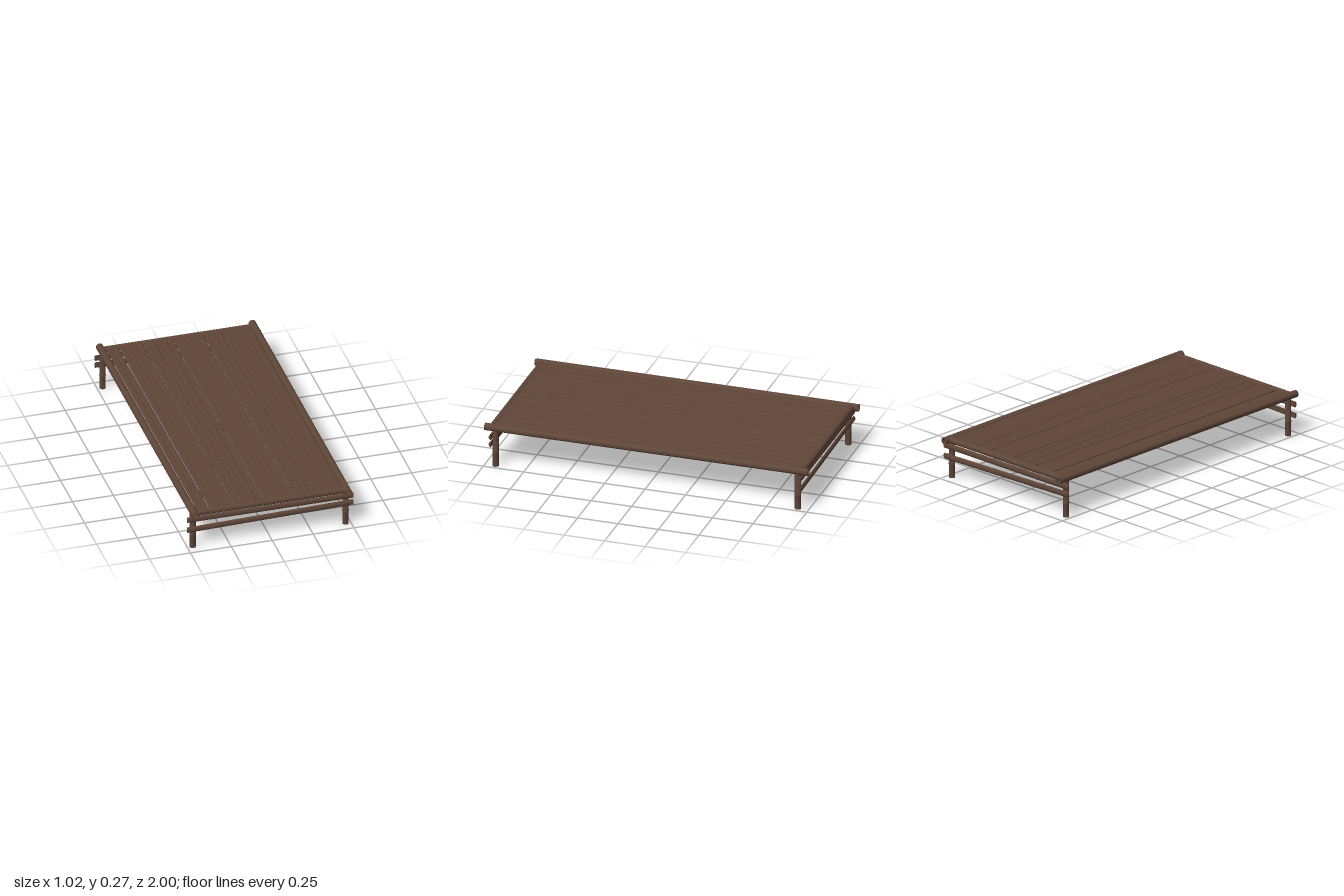
import * as THREE from 'three';
import { toCreasedNormals } from 'three/addons/utils/BufferGeometryUtils.js';

const bamboo = new THREE.MeshStandardMaterial({ color: 0x5f4638 });
bamboo.name = 'dark bamboo';

// Round pole along y with recessed hollow ends and optional raised nodes
function poleGeometry(length, r, nodes = []) {
  const h = length / 2, inner = r * 0.66, depth = 0.03;
  const pts = [[0, -h + depth], [inner, -h + depth], [inner, -h], [r, -h]];
  for (const y of nodes) {
    pts.push([r, y - 0.005], [r * 1.07, y - 0.002], [r * 1.07, y + 0.002], [r, y + 0.005]);
  }
  pts.push([r, h], [inner, h], [inner, h - depth], [0, h - depth]);
  const lathe = new THREE.LatheGeometry(pts.map(([x, y]) => new THREE.Vector2(x, y)), 20);
  return toCreasedNormals(lathe, 0.6);
}

// Split cane along z: flat underside at y = 0, shallow arched top
function slatGeometry(width, length, edge, rise) {
  const w = width / 2, shape = new THREE.Shape();
  shape.moveTo(-w, 0);
  shape.lineTo(w, 0);
  for (let i = 0; i <= 8; i++) {
    const t = 1 - i / 4;
    shape.lineTo(w * t, edge + rise * (1 - t * t));
  }
  shape.closePath();
  const geo = new THREE.ExtrudeGeometry(shape, { depth: length, bevelEnabled: false });
  geo.translate(0, 0, -length / 2);
  return toCreasedNormals(geo, 0.6);
}

function addPart(parent, name, geometry, x, y, z) {
  const mesh = new THREE.Mesh(geometry, bamboo);
  mesh.name = name;
  mesh.position.set(x, y, z);
  parent.add(mesh);
  return mesh;
}

export function createModel() {
  const bed = new THREE.Group();
  bed.name = 'bambooBed';

  // Long side rails
  const rail = poleGeometry(2, 0.022);
  for (const s of [1, -1]) {
    addPart(bed, s > 0 ? 'leftRail' : 'rightRail', rail, s * 0.467, 0.244, 0).rotation.x = Math.PI / 2;
  }

  // Each end: cross rail, two legs, straight slat and tilted slat; the back is turned half round
  const crossRail = poleGeometry(0.9, 0.0195);
  const leg = poleGeometry(0.23, 0.0185, [-0.027]);
  const brace = slatGeometry(0.035, 1.016, 0.004, 0.009);
  for (const s of [1, -1]) {
    const end = new THREE.Group();
    end.name = s > 0 ? 'frontEnd' : 'backEnd';
    end.rotation.y = s > 0 ? 0 : Math.PI;
    addPart(end, 'crossRail', crossRail, 0, 0.244, 0.957).rotation.z = Math.PI / 2;
    for (const x of [0.467, -0.467]) addPart(end, 'leg', leg, x, 0.115, 0.934);

    for (const [name, y, tilt] of [['straightSlat', 0.198, 0], ['tiltedSlat', 0.14, 0.021]]) {
      const holder = new THREE.Group();
      holder.name = name + 'Holder';
      holder.position.set(0, y, 0.951);
      holder.rotation.z = tilt;
      // Turn the slat to run along x with its arch facing outwards
      const mesh = addPart(holder, name, brace, 0, 0, 0);
      const basis = new THREE.Matrix4().makeBasis(
        new THREE.Vector3(0, 1, 0), new THREE.Vector3(0, 0, 1), new THREE.Vector3(1, 0, 0));
      mesh.quaternion.setFromRotationMatrix(basis);
      end.add(holder);
    }
    bed.add(end);
  }

  // Deck of split canes with a few open joints
  const deck = new THREE.Group();
  deck.name = 'deck';
  const count = 24, pitch = 0.884 / count;
  const gaps = { 2: 0.009, 6: 0.005, 8: 0.004, 10: 0.003, 11: 0.005, 16: 0.005, 19: 0.004, 24: 0.004 };
  for (let i = 0; i < count; i++) {
    const left = -0.442 + i * pitch + (gaps[i] || 0) / 2;
    const right = -0.442 + (i + 1) * pitch - (gaps[i + 1] || 0) / 2;
    addPart(deck, 'deckSlat', slatGeometry(right - left, 1.9, 0.008, 0.004), (left + right) / 2, 0.248, 0);
  }
  bed.add(deck);

  // Diagonal brace under the deck
  const a = new THREE.Vector3(-0.455, 0, 0.945), span = a.clone().multiplyScalar(-2);
  const diagonal = addPart(bed, 'diagonalBrace', poleGeometry(span.length(), 0.0165), 0, 0.237, 0);
  diagonal.quaternion.setFromUnitVectors(new THREE.Vector3(0, 1, 0), span.normalize());

  return bed;
}
